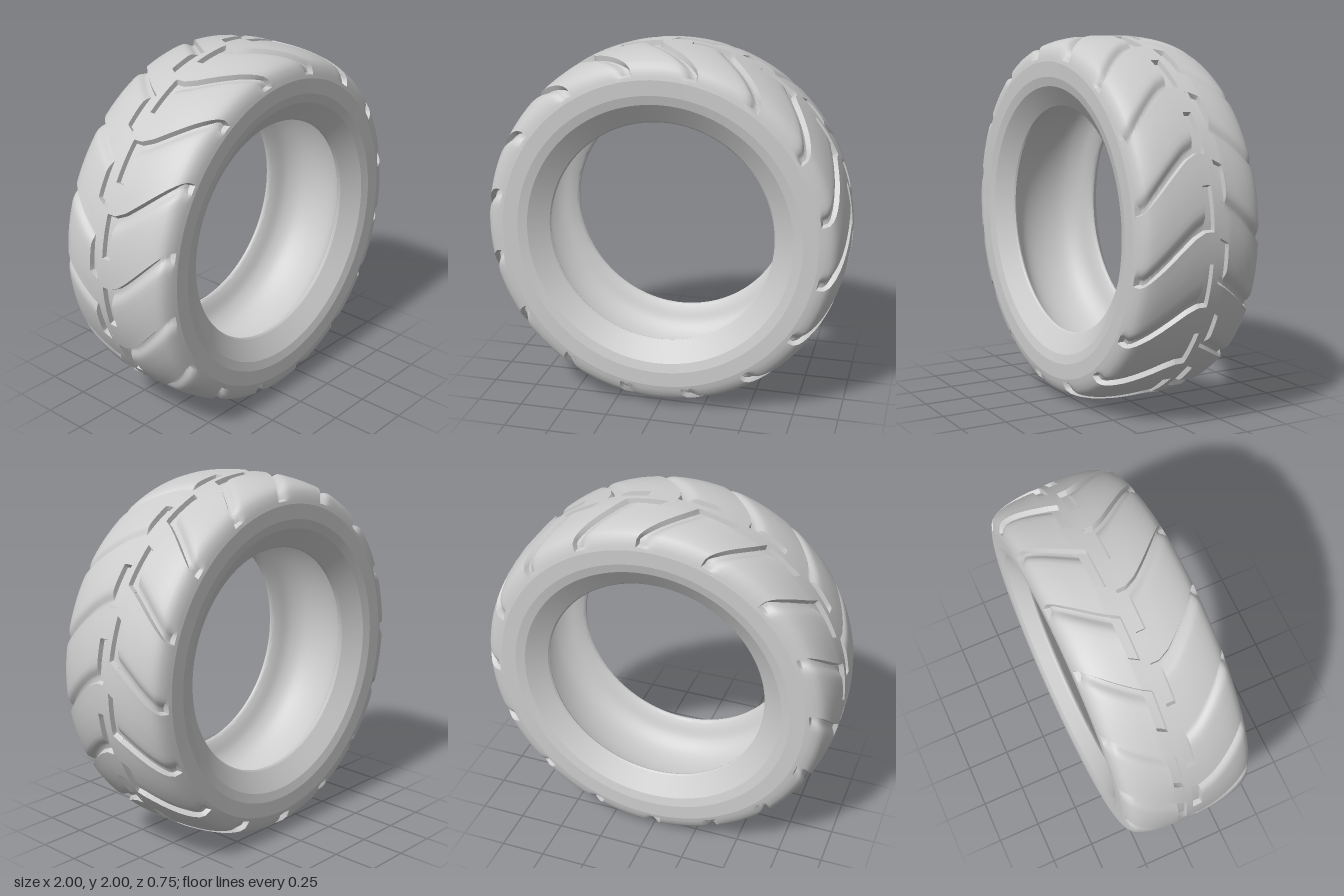
import * as THREE from 'three';
import { toCreasedNormals } from 'three/addons/utils/BufferGeometryUtils.js';

const RAD = Math.PI / 180;
const LUGS = 16, PITCH = 360 / LUGS;
const DEPTH = 0.027;          // groove depth
const RIB = -0.0375;          // z of the central rib
const material = new THREE.MeshStandardMaterial({ color: 0xcccccc });

// One lug pitch: [angle, drop in the diagonal groove, drop in the centre slot]
// The groove has a steep lower wall and a soft upper flank.
const COLUMNS = [
  [0, 0, 0], [0.6, 1, 1], [2, 1, 1], [2.8, 0.75, 1], [3.7, 0.38, 1], [4.8, 0.1, 1], [6.2, 0, 1],
  [8.5, 0, 1], [11, 0, 1], [13, 0, 1], [13.3, 0, 0], [16, 0, 0], [19.2, 0, 0],
];

// Shoulder profile: [distance from the mid plane, radius]
const SHOULDER = [
  [0.09, 0.999], [0.13, 0.997], [0.17, 0.993], [0.21, 0.987], [0.25, 0.979], [0.285, 0.968],
  [0.31, 0.957], [0.33, 0.944], [0.346, 0.923], [0.356, 0.895], [0.3595, 0.881], [0.3635, 0.862],
];

// Half of the tread: a sheared grid whose columns follow the groove path
function treadHalf(side, offset, sweep) {
  // rows: z distance, radius, kind of relief (0 plain, 1 diagonal groove, 2 centre slot)
  const rows = [[0, 0], [0.0175, 0], [0.0205, 2], [0.0655, 2], [0.0685, 1]]
    .map(([d, kind]) => ({ z: RIB + side * d, r: 1, kind }));
  SHOULDER.forEach(([d, r], i) => {
    const z = side * d;
    if (side * (z - RIB) > 0.075) rows.push({ z, r, kind: i < SHOULDER.length - 2 ? 1 : 0 });
  });

  const positions = [], index = [], perRow = LUGS * COLUMNS.length;
  rows.forEach((row, i) => {
    // relief is cut along the normal of the profile
    const p = rows[Math.max(i - 1, 0)], n = rows[Math.min(i + 1, rows.length - 1)];
    const slope = new THREE.Vector2(Math.abs(n.z - p.z), (p.r - n.r)).normalize();
    const t = THREE.MathUtils.clamp((side * row.z - 0.04) / 0.31, 0, 1);
    const shear = offset - sweep * Math.pow(t, 1.25);
    for (let k = 0; k < LUGS; k++) {
      for (const column of COLUMNS) {
        const drop = row.kind ? DEPTH * column[row.kind] : 0;
        const a = (k * PITCH + column[0] + shear) * RAD;
        const r = row.r - drop * slope.x;
        positions.push(r * Math.cos(a), r * Math.sin(a), row.z - side * drop * slope.y);
      }
    }
  });
  for (let i = 0; i < rows.length - 1; i++) {
    for (let j = 0; j < perRow; j++) {
      const a = i * perRow + j, b = i * perRow + (j + 1) % perRow;
      const c = b + perRow, d = a + perRow;
      if (side > 0) index.push(a, b, d, b, c, d);
      else index.push(a, d, b, b, d, c);
    }
  }
  const geometry = new THREE.BufferGeometry();
  geometry.setAttribute('position', new THREE.Float32BufferAttribute(positions, 3));
  geometry.setIndex(index);
  return geometry;
}

// Ring turned around the z axis from [radius, z] points
function ring(points) {
  const geometry = new THREE.LatheGeometry(points.map(([r, z]) => new THREE.Vector2(r, z)), 128);
  return geometry.rotateX(Math.PI / 2);
}

const mirrored = (points) => points.map(([r, z]) => [r, -z]).reverse();

export function createModel() {
  const model = new THREE.Group();
  model.name = 'tire';
  const tire = new THREE.Group();
  tire.name = 'tireBody';
  const add = (name, geometry, crease) => {
    const mesh = new THREE.Mesh(toCreasedNormals(geometry, crease * RAD), material);
    mesh.name = name;
    tire.add(mesh);
  };

  // Tread halves with staggered lugs
  add('frontTread', treadHalf(1, 2.6, 16.5), 38);
  add('backTread', treadHalf(-1, 10.2, 14), 38);

  // Sidewalls dished down to the bead
  const wall = [[0.868, 0.362], [0.78, 0.361], [0.73, 0.348], [0.625, 0.275], [0.618, 0.266]];
  add('frontSidewall', ring(wall), 12);
  add('backSidewall', ring(mirrored(wall)), 12);

  // Hollow inside: a short bead lip, then a rounded cavity
  const lip = [[0.618, 0.266], [0.622, 0.256], [0.655, 0.235], [0.73, 0.2], [0.79, 0.13]];
  const section = [...lip, [0.815, 0], ...mirrored(lip)];
  const curve = new THREE.CatmullRomCurve3(section.map(([r, z]) => new THREE.Vector3(r, z, 0)));
  add('innerLiner', ring(curve.getPoints(40).map((p) => [p.x, p.y])), 40);

  tire.position.y = 1;
  tire.rotation.y = 0.016;
  model.add(tire);
  return model;
}
